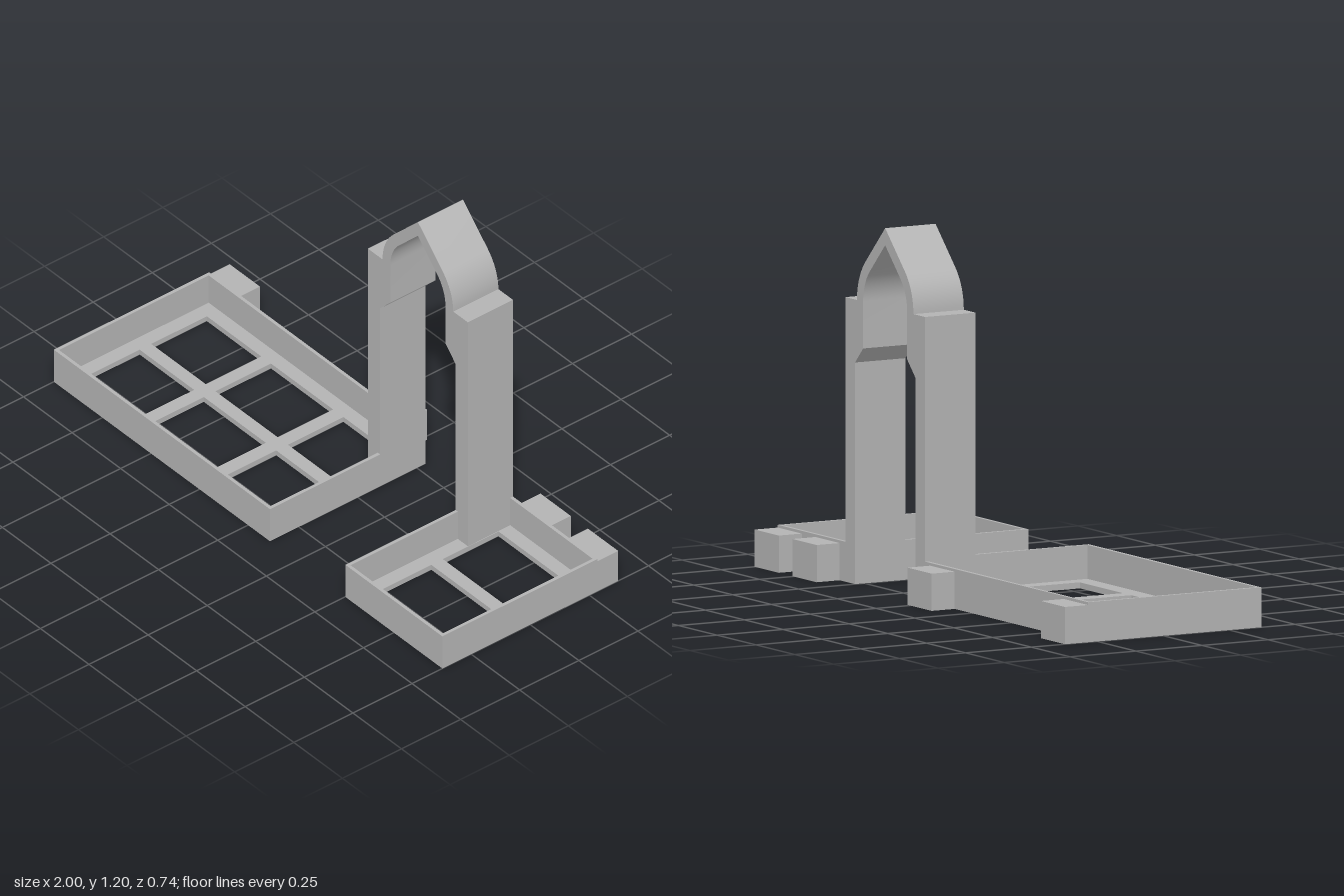
import * as THREE from 'three';
import { toCreasedNormals } from 'three/addons/utils/BufferGeometryUtils.js';

const BACK = -0.285, FRONT = 0.372, TRAY_H = 0.132, FLOOR_H = 0.02, WALL = 0.012;

function rect(path, x0, x1, z0, z1) {
  // plan rectangle, shape y = -z
  path.moveTo(x0, -z1);
  path.lineTo(x1, -z1);
  path.lineTo(x1, -z0);
  path.lineTo(x0, -z0);
  path.closePath();
  return path;
}

function slab(shape, y0, y1) {
  const g = new THREE.ExtrudeGeometry(shape, { depth: y1 - y0, bevelEnabled: false });
  return g.rotateX(-Math.PI / 2).translate(0, y0, 0);
}

export function createModel() {
  const model = new THREE.Group();
  model.name = 'archwayWithTrays';
  const stone = new THREE.MeshStandardMaterial({ color: 0xb3b3b3 });
  stone.name = 'grey stone';

  const add = (parent, name, geometry) => {
    const mesh = new THREE.Mesh(geometry, stone);
    mesh.name = name;
    parent.add(mesh);
  };

  // Open trays: a gridded floor with a thin rim around it
  const rows = [[-0.222, 0.013], [0.062, 0.3]];
  const trays = [
    { name: 'longTray', x0: -1, x1: 0.113, columns: [[-0.935, -0.655], [-0.605, -0.285], [-0.232, 0.047]] },
    { name: 'shortTray', x0: 0.501, x1: 1, columns: [[0.566, 0.934]] },
  ];
  for (const { name, x0, x1, columns } of trays) {
    const tray = new THREE.Group();
    tray.name = name;
    const floor = rect(new THREE.Shape(), x0, x1, BACK, FRONT);
    for (const [a, b] of columns)
      for (const [c, d] of rows) floor.holes.push(rect(new THREE.Path(), a, b, c, d));
    add(tray, 'gridFloor', slab(floor, 0, FLOOR_H));

    const rim = rect(new THREE.Shape(), x0, x1, BACK, FRONT);
    rim.holes.push(rect(new THREE.Path(), x0 + WALL, x1 - WALL, BACK + WALL, FRONT - WALL));
    add(tray, 'rim', slab(rim, FLOOR_H, TRAY_H));
    model.add(tray);
  }

  // Blocks along the back
  for (const x of [-0.922, -0.062, 0.678, 0.922]) {
    const block = new THREE.BoxGeometry(0.156, 0.123, 0.087);
    add(model, 'backBlock', block.translate(x, 0.0615, BACK - 0.0435));
  }

  // Pointed arch: half profiles from foot to apex, mirrored about the centre line
  const centre = 0.307, spring = 0.94;
  const shoulder = (halfWidth, radius) => {
    const points = [];
    for (let i = 0; i <= 10; i++) {
      const a = (i / 10) * Math.PI / 4;
      points.push([halfWidth - radius * (1 - Math.cos(a)), spring + radius * Math.sin(a)]);
    }
    const [x, y] = points[10];
    return [...points, [0, x + y]];
  };
  const outer = [[0.257, 0], [0.257, spring], ...shoulder(0.182, 0.19)];
  const inner = [[0.194, 0], [0.194, 0.732], [0.142, 0.785], ...shoulder(0.142, 0.15)];
  const mirror = half => half.slice(0, -1).reverse().map(([x, y]) => [-x, y]);
  const outline = [...outer, ...mirror(outer), ...[...inner, ...mirror(inner)].reverse()];
  const profile = new THREE.Shape(outline.map(([x, y]) => new THREE.Vector2(x + centre, y)));
  const arch = new THREE.ExtrudeGeometry(profile, { depth: 0.191, bevelEnabled: false });
  add(model, 'pointedArch', toCreasedNormals(arch.translate(0, 0, BACK), 0.4));

  return model;
}
